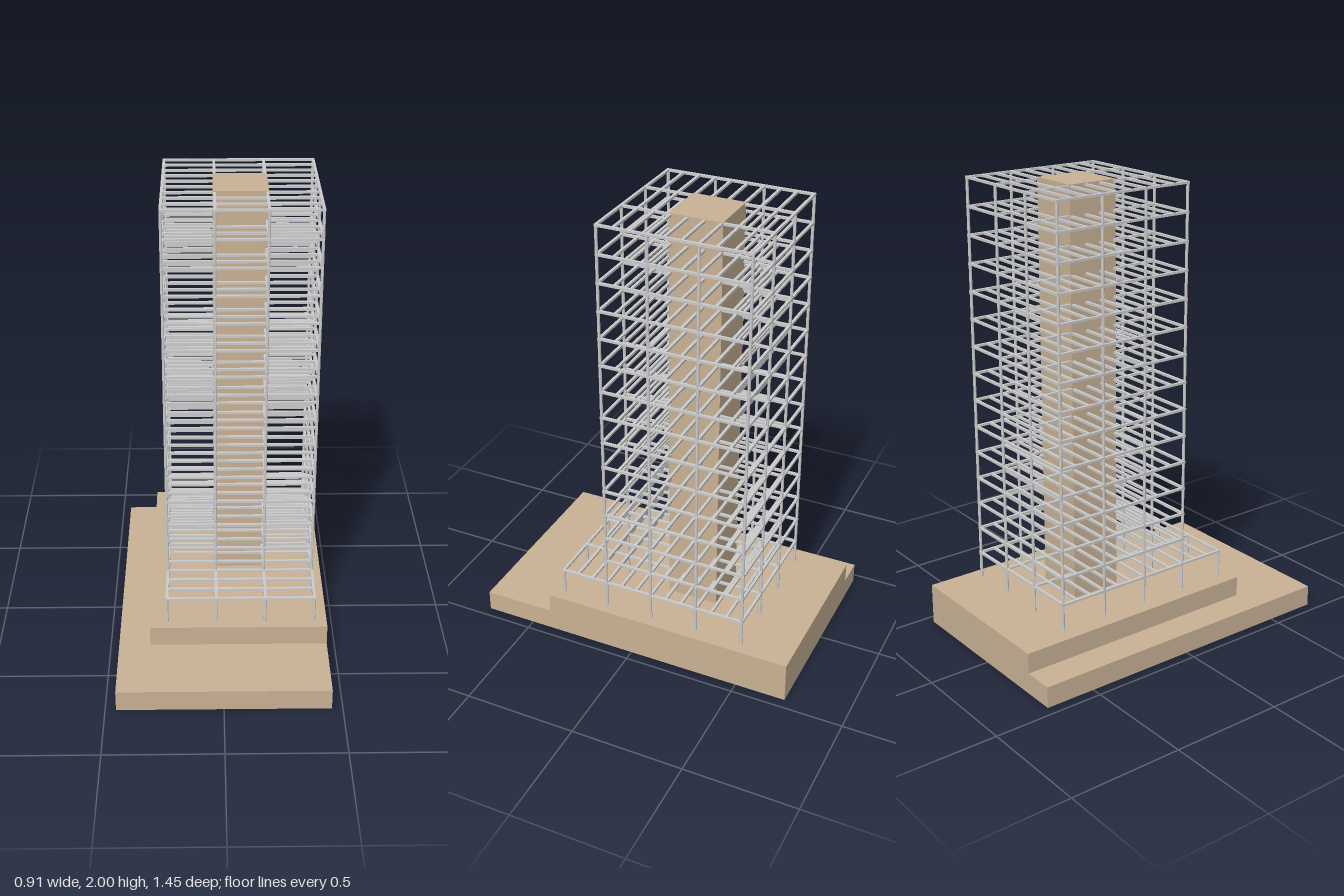
import * as THREE from 'three';

const TAN = new THREE.MeshStandardMaterial({ color: 0xc9b295, flatShading: true });
const STEEL = new THREE.MeshStandardMaterial({ color: 0xcccccc, flatShading: true });

// Box given by its min and max corners
function block(name, material, [x0, y0, z0], [x1, y1, z1]) {
  const mesh = new THREE.Mesh(new THREE.BoxGeometry(x1 - x0, y1 - y0, z1 - z0), material);
  mesh.name = name;
  mesh.position.set((x0 + x1) / 2, (y0 + y1) / 2, (z0 + z1) / 2);
  return mesh;
}

export function createModel() {
  const model = new THREE.Group();
  model.name = 'towerFrame';

  // Structural grid: 3 x 4 bays, 15 floors; the front bay is one storey high
  const BAY = 0.2138, X0 = -0.243, Z0 = -0.499;
  const DECK = 0.184, FLOOR1 = 0.301, TOP = 1.992, FLOORS = 15;
  const R = 0.0065, BW = 0.006, BH = 0.005;
  const xs = [0, 1, 2, 3].map((i) => X0 + i * BAY);
  const zs = [0, 1, 2, 3, 4].map((i) => Z0 + i * BAY);

  // Stepped base
  model.add(block('basePlinth', TAN, [-0.454, 0, -0.727], [0.454, 0.094, 0.727]));
  model.add(block('upperPlinth', TAN, [-0.318, 0.094, -0.727], [0.454, DECK, 0.407]));

  // Solid core filling one bay
  model.add(block('core', TAN,
    [xs[1] - 0.007, DECK, zs[1] - 0.007], [xs[2] + 0.007, 2, zs[2] + 0.007]));

  // Columns
  const columns = new THREE.Group();
  columns.name = 'columns';
  zs.forEach((z, k) => {
    const top = (k === 4 ? FLOOR1 : TOP) + BH;
    const geometry = new THREE.CylinderGeometry(R, R, top - DECK, 8);
    geometry.rotateY(Math.PI / 8);
    for (const x of xs) {
      const column = new THREE.Mesh(geometry, STEEL);
      column.name = 'column';
      column.position.set(x, (top + DECK) / 2, z);
      columns.add(column);
    }
  });
  model.add(columns);

  // Floor framing: girders along z, joists along x at third points of each bay
  for (let f = 0; f < FLOORS; f++) {
    const floor = new THREE.Group();
    floor.name = `floor${f + 1}`;
    const y = FLOOR1 + (f * (TOP - FLOOR1)) / (FLOORS - 1);
    const bays = f === 0 ? 4 : 3;
    for (const x of xs) {
      floor.add(block('girder', STEEL,
        [x - BW, y - BH, Z0 - BW], [x + BW, y + BH, zs[bays] + BW]));
    }
    for (let j = 0; j <= bays * 3; j++) {
      const z = Z0 + (j * BAY) / 3;
      floor.add(block('joist', STEEL,
        [xs[0] - BW, y - BH, z - BW], [xs[3] + BW, y + BH, z + BW]));
    }
    model.add(floor);
  }
  return model;
}
